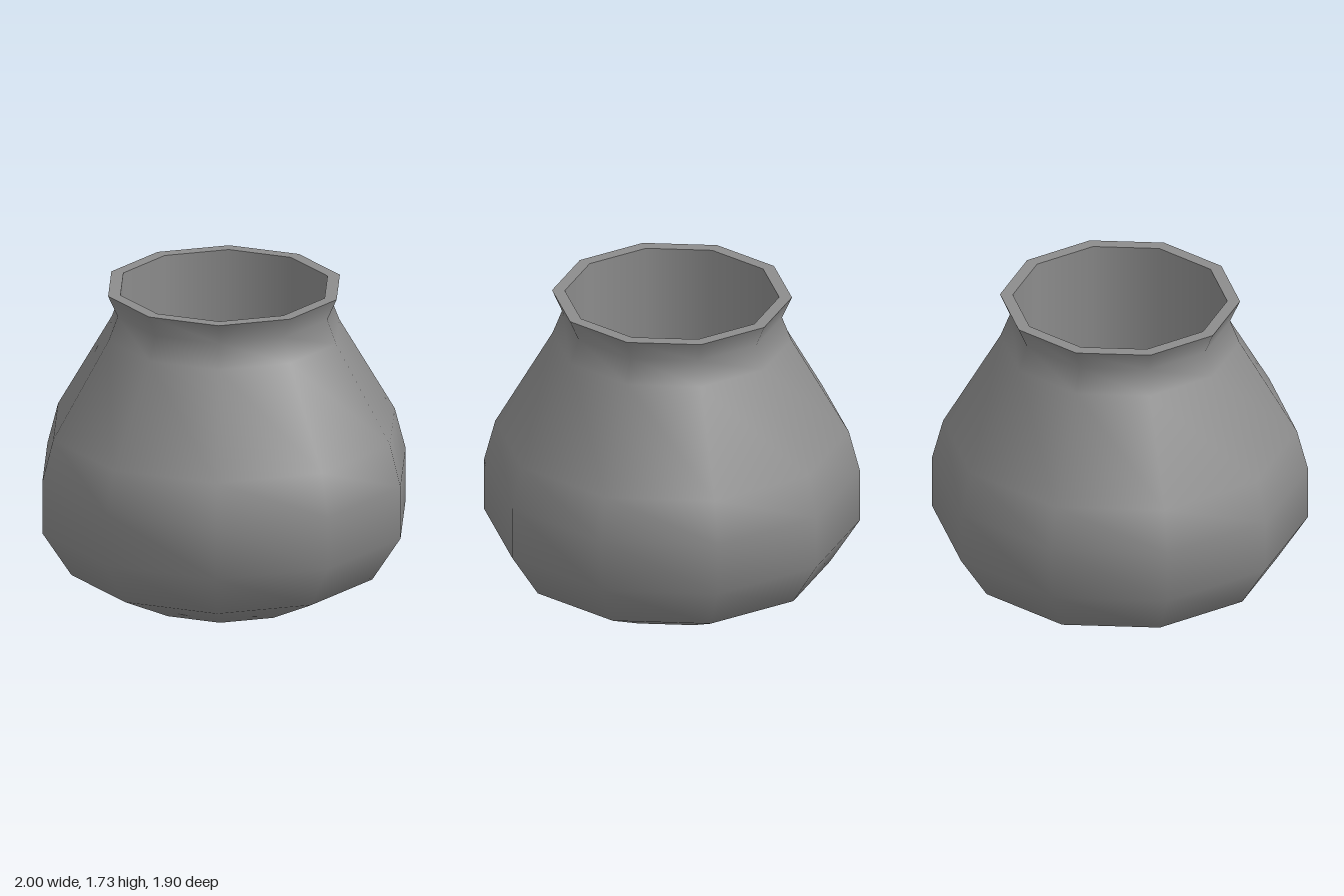
import * as THREE from 'three';

const SIDES = 10;

export function createModel() {
  const group = new THREE.Group();
  group.name = 'pot';
  const clay = new THREE.MeshStandardMaterial({ color: 0x8c8c8c });
  clay.name = 'grey clay';

  // Ten-sided turned surface with corners on the x axis; each profile point is [radius, height]
  function turn(name, profile) {
    const points = profile.map(([r, y]) => new THREE.Vector2(r, y));
    const mesh = new THREE.Mesh(new THREE.LatheGeometry(points, SIDES, Math.PI / 2), clay);
    mesh.name = name;
    group.add(mesh);
  }

  // Rounded outside, from the middle of the base up to the flared lip
  turn('body', [
    [0, 0], [0.475, 0], [0.84, 0.18], [1, 0.43], [1, 0.72],
    [0.94, 0.95], [0.635, 1.48], [0.585, 1.61], [0.638, 1.73],
  ]);
  // Flat ring on top of the lip
  turn('rim', [[0.638, 1.73], [0.57, 1.73]]);
  // Straight hollow and its floor
  turn('innerWall', [[0.57, 1.73], [0.57, 0.18]]);
  turn('innerFloor', [[0.57, 0.18], [0, 0.18]]);

  return group;
}
